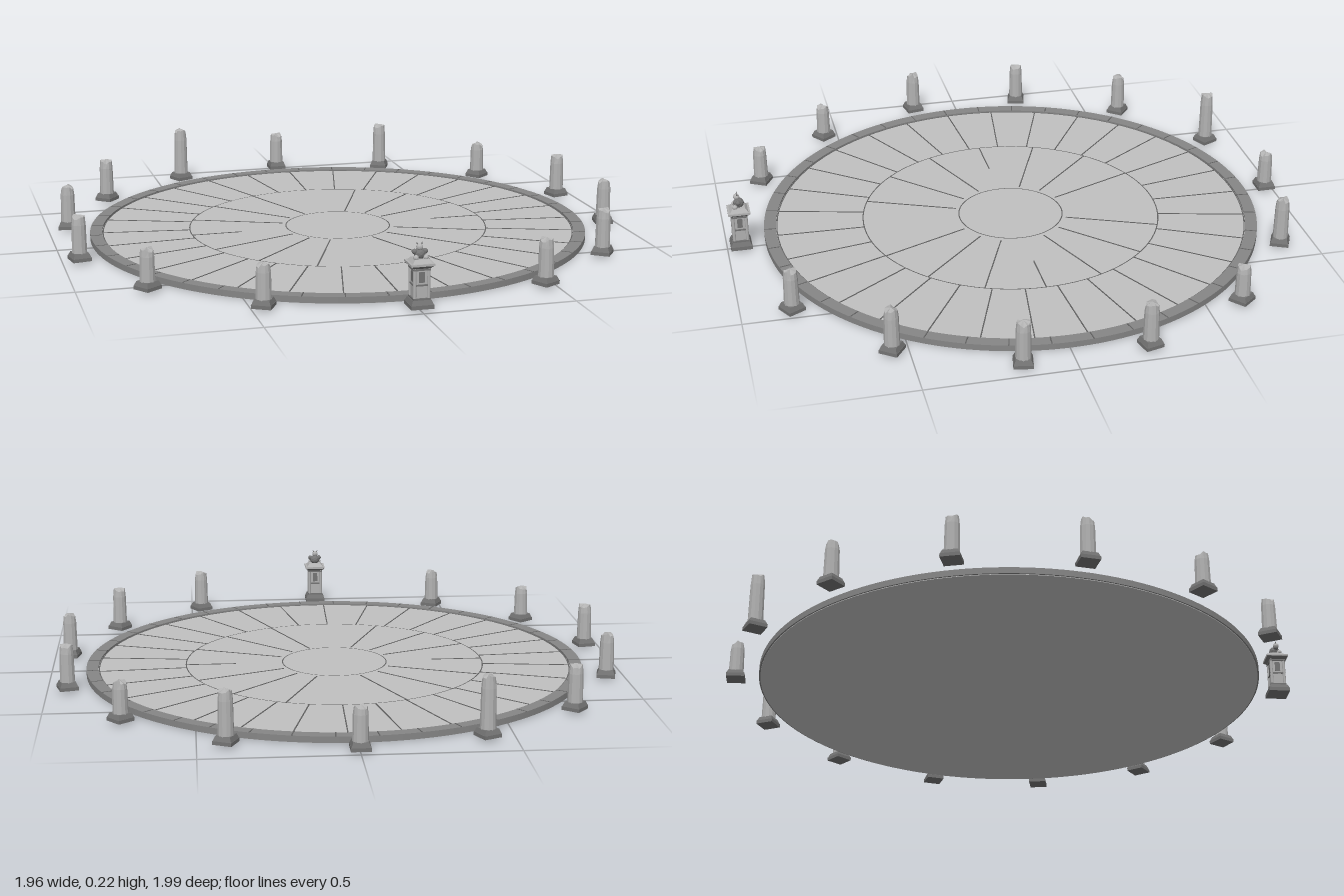
import * as THREE from 'three';

const mat = (name, color) => Object.assign(new THREE.MeshStandardMaterial({ color }), { name });

export function createModel() {
  const paving = mat('pale paving', 0xc0c0c0);
  const rimStone = mat('rim stone', 0x868686);
  const column = mat('column stone', 0xb2b2b2);
  const plinthStone = mat('plinth stone', 0x747474);
  const seam = mat('dark seam', 0x626262);

  const model = new THREE.Group();
  model.name = 'stoneCircle';
  const CZ = -0.01;

  const add = (parent, name, geo, material, x = 0, y = 0, z = 0) => {
    const mesh = new THREE.Mesh(geo, material);
    mesh.name = name;
    mesh.position.set(x, y, z);
    parent.add(mesh);
    return mesh;
  };
  const facet = (geo) => {
    const g = geo.toNonIndexed();
    g.computeVertexNormals();
    return g;
  };
  // square frustum with flat sides
  const frustum = (top, bottom, h) =>
    facet(new THREE.CylinderGeometry(top / Math.SQRT2, bottom / Math.SQRT2, h, 4).rotateY(Math.PI / 4));

  // ---- round platform ----
  const platform = new THREE.Group();
  platform.name = 'platform';
  platform.position.z = CZ;
  model.add(platform);
  add(platform, 'floor', new THREE.CylinderGeometry(0.872, 0.872, 0.017, 96), paving, 0, 0.0085);

  const ring = new THREE.Shape().absarc(0, 0, 0.877, 0, Math.PI * 2, false);
  ring.holes.push(new THREE.Path().absarc(0, 0, 0.835, 0, Math.PI * 2, true));
  const rimGeo = new THREE.ExtrudeGeometry(ring, { depth: 0.021, bevelEnabled: false, curveSegments: 96 });
  add(platform, 'rim', rimGeo.rotateX(-Math.PI / 2), rimStone, 0, 0.002);

  // seams between the paving slabs and rim blocks
  const circleSeam = (name, r) =>
    add(platform, name, new THREE.RingGeometry(r - 0.002, r + 0.002, 96).rotateX(-Math.PI / 2), seam, 0, 0.0182);
  circleSeam('innerSeam', 0.185);
  circleSeam('middleSeam', 0.527);
  circleSeam('outerSeam', 0.832);

  const radialSeam = (name, angle, r0, r1, y) => {
    const mesh = add(platform, name, new THREE.BoxGeometry(0.004, 0.002, r1 - r0), seam,
      Math.sin(angle) * (r0 + r1) / 2, y, Math.cos(angle) * (r0 + r1) / 2);
    mesh.rotation.y = angle;
  };
  for (let i = 0; i < 16; i++) {
    if (i % 8 === 0) continue;
    radialSeam('innerSlabSeam', i * Math.PI / 8, i % 8 === 4 ? 0.35 : 0.2, 0.527, 0.0175);
  }
  for (let i = 0; i < 30; i++) {
    radialSeam('outerSlabSeam', THREE.MathUtils.degToRad(i * 12 - 1.8), 0.527, 0.832, 0.0175);
  }
  for (let i = 0; i < 40; i++) {
    radialSeam('rimSeam', (i + 0.5) * Math.PI / 20, 0.836, 0.876, 0.0228);
  }

  // ---- broken pillars ----
  const brokenColumn = (h, seed) => {
    const geo = new THREE.CylinderGeometry(0.0235, 0.026, h, 12, 4);
    const p = geo.attributes.position;
    for (let i = 0; i < p.count; i++) {
      if (p.getY(i) < h / 2 - 0.001) continue;
      const x = p.getX(i), z = p.getZ(i);
      const a = Math.atan2(z, x), r = Math.hypot(x, z) / 0.0235;
      const chip = 0.5 + 0.3 * Math.sin(a * 2 + seed * 1.7) + 0.2 * Math.sin(a * 5 + seed * 2.9);
      p.setY(i, h / 2 - 0.017 * chip * r);
      p.setX(i, x * 0.9);
      p.setZ(i, z * 0.9);
    }
    return facet(geo);
  };
  const makePillar = (top, seed) => {
    const g = new THREE.Group();
    g.name = 'pillar';
    add(g, 'plinth', new THREE.BoxGeometry(0.064, 0.012, 0.064), plinthStone, 0, 0.016);
    add(g, 'plinthSlope', frustum(0.05, 0.062, 0.015), plinthStone, 0, 0.0295);
    add(g, 'shaft', brokenColumn(top - 0.033, seed), column, 0, (top + 0.033) / 2);
    return g;
  };
  // heights going round from the left front to the right front
  const tops = [0.165, 0.17, 0.17, 0.17, 0.147, 0.187, 0.153, 0.213, 0.167, 0.168, 0.167, 0.147, 0.153];
  tops.forEach((top, i) => {
    const a = THREE.MathUtils.degToRad((6 - i) * 25.2);
    const pillar = makePillar(top, i + 1);
    pillar.position.set(Math.sin(a) * 0.96, 0, CZ - Math.cos(a) * 0.96);
    pillar.rotation.y = -a;
    model.add(pillar);
  });

  // ---- shrine at the front ----
  const shrine = new THREE.Group();
  shrine.name = 'shrine';
  shrine.position.set(0, 0, 0.952);
  model.add(shrine);
  const slab = (name, w, h, y, m) => add(shrine, name, new THREE.BoxGeometry(w, h, w), m, 0, y);
  slab('shrineBase', 0.074, 0.013, 0.0165, plinthStone);
  add(shrine, 'shrineSlope', frustum(0.06, 0.072, 0.014), plinthStone, 0, 0.03);
  slab('shrineCore', 0.046, 0.11, 0.09, column);
  slab('lowerBand', 0.056, 0.006, 0.04, plinthStone);
  slab('middleBand', 0.053, 0.005, 0.084, plinthStone);
  slab('upperBand', 0.056, 0.006, 0.134, plinthStone);
  for (const x of [-1, 1]) for (const z of [-1, 1]) {
    add(shrine, 'cornerColumn', new THREE.CylinderGeometry(0.0055, 0.0055, 0.1, 8), column, x * 0.0225, 0.088, z * 0.0225);
  }
  for (let i = 0; i < 4; i++) {
    const a = i * Math.PI / 2;
    const panel = add(shrine, 'panel', new THREE.BoxGeometry(0.018, 0.034, 0.002), plinthStone,
      Math.sin(a) * 0.0235, 0.109, Math.cos(a) * 0.0235);
    panel.rotation.y = a;
  }
  add(shrine, 'corniceFlare', frustum(0.074, 0.052, 0.01), plinthStone, 0, 0.142);
  slab('cornice', 0.076, 0.007, 0.15, column);
  add(shrine, 'roof', frustum(0.044, 0.064, 0.012), column, 0, 0.159);

  // small crouching carving on the roof
  const lump = (name, r, x, y, z, m, sy = 1) =>
    add(shrine, name, facet(new THREE.IcosahedronGeometry(r, 1)), m, x, y, z).scale.set(1, sy, 1);
  lump('carvingBody', 0.019, 0, 0.178, -0.002, plinthStone, 0.95);
  lump('carvingHead', 0.011, -0.002, 0.201, 0.004, column);
  for (const s of [-1, 1]) {
    lump('carvingShoulder', 0.009, s * 0.017, 0.186, 0, plinthStone);
    lump('carvingFoot', 0.009, s * 0.016, 0.169, 0.012, column);
    add(shrine, 'carvingHorn', new THREE.ConeGeometry(0.004, 0.014, 6), plinthStone, s * 0.007 - 0.002, 0.211, 0.002)
      .rotation.z = -s * 0.4;
  }
  return model;
}
